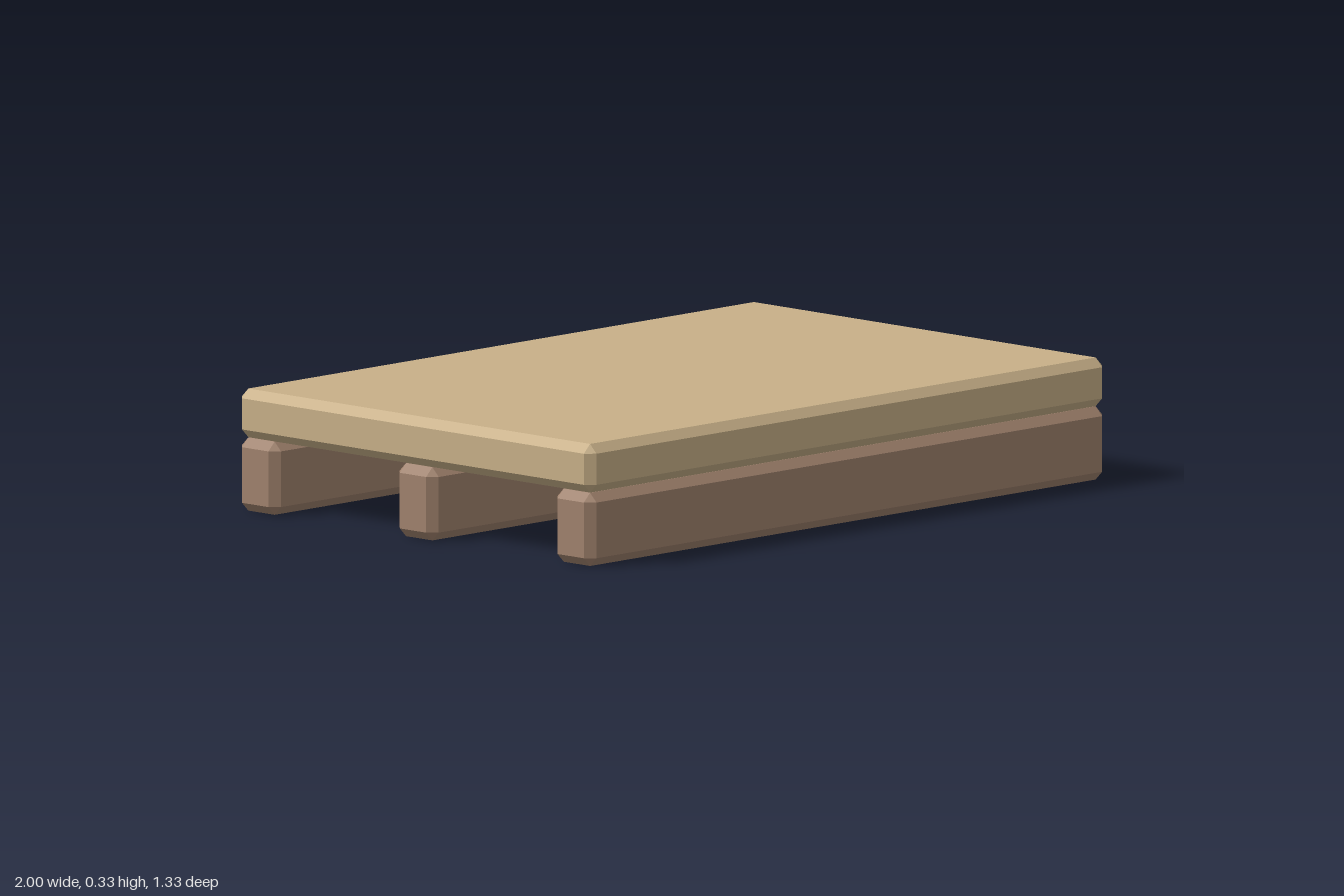
import * as THREE from 'three';
import { ConvexGeometry } from 'three/addons/geometries/ConvexGeometry.js';

const BEVEL = 0.024;

// Box with every edge and corner cut at 45 degrees
function chamferedBox(width, height, depth, bevel) {
  const half = [width / 2, height / 2, depth / 2];
  const points = [];
  for (const sx of [-1, 1]) for (const sy of [-1, 1]) for (const sz of [-1, 1]) {
    const signs = [sx, sy, sz];
    // Each corner becomes three points, one on each neighbouring face
    for (let face = 0; face < 3; face++) {
      points.push(new THREE.Vector3(
        ...signs.map((s, axis) => s * (half[axis] - (axis === face ? 0 : bevel)))
      ));
    }
  }
  return new ConvexGeometry(points);
}

export function createModel() {
  const model = new THREE.Group();
  model.name = 'platform';

  const deckMaterial = new THREE.MeshStandardMaterial({ color: 0xc8b088, flatShading: true });
  const beamMaterial = new THREE.MeshStandardMaterial({ color: 0xa0826d, flatShading: true });

  // Deck slab
  const deck = new THREE.Mesh(chamferedBox(2, 0.133, 1.333, BEVEL), deckMaterial);
  deck.name = 'deck';
  deck.position.y = 0.267;
  model.add(deck);

  // Three support beams running the full width
  const beamGeometry = chamferedBox(2, 0.2, 0.147, BEVEL);
  const beams = { frontBeam: 0.593, middleBeam: 0, backBeam: -0.593 };
  for (const [name, z] of Object.entries(beams)) {
    const beam = new THREE.Mesh(beamGeometry, beamMaterial);
    beam.name = name;
    beam.position.set(0, 0.1, z);
    model.add(beam);
  }

  return model;
}
